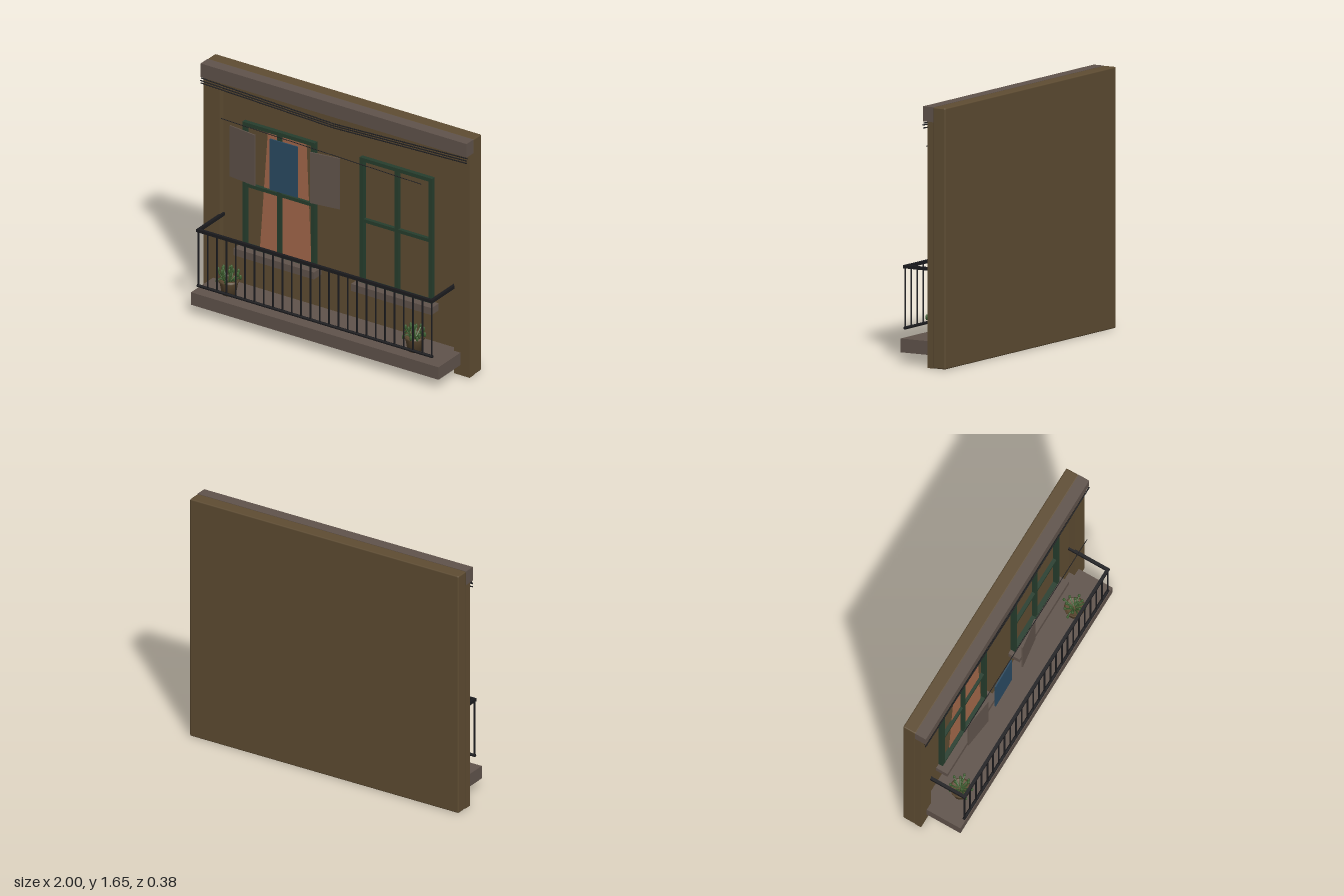
import * as THREE from 'three';
import { RoundedBoxGeometry } from 'three/addons/geometries/RoundedBoxGeometry.js';

const mat = (name, color, side = THREE.FrontSide) => {
  const m = new THREE.MeshStandardMaterial({ color, side });
  m.name = name;
  return m;
};

export function createModel() {
  const root = new THREE.Group();
  root.name = 'balconyFacade';
  const plaster = mat('plaster', 0x5e4c32);
  const stone = mat('stone', 0x60534b);
  const green = mat('greenPaint', 0x263d2d);
  const iron = mat('iron', 0x1b1b1e);
  const curtainCloth = mat('curtainCloth', 0xa3684a, THREE.DoubleSide);
  const blueCloth = mat('blueCloth', 0x2a4a62);
  const leaf = mat('leaf', 0x3d5f30);
  const clay = mat('clay', 0x5c4930);

  const add = (parent, name, geometry, material) => {
    const mesh = new THREE.Mesh(geometry, material);
    mesh.name = name;
    parent.add(mesh);
    return mesh;
  };
  // Box given by its limits on each axis
  const box = (parent, name, material, [x0, x1], [y0, y1], [z0, z1]) => {
    const m = add(parent, name, new THREE.BoxGeometry(x1 - x0, y1 - y0, z1 - z0), material);
    m.position.set((x0 + x1) / 2, (y0 + y1) / 2, (z0 + z1) / 2);
    return m;
  };
  // Round bar between two points
  const bar = (parent, name, material, a, b, r) => {
    const p = new THREE.Vector3(...a), q = new THREE.Vector3(...b);
    const m = add(parent, name, new THREE.CylinderGeometry(r, r, p.distanceTo(q), 8), material);
    m.position.copy(p).add(q).multiplyScalar(0.5);
    m.quaternion.setFromUnitVectors(new THREE.Vector3(0, 1, 0), q.sub(p).normalize());
    return m;
  };

  // Wall, corner pilasters, cornice and balcony slab
  const wall = add(root, 'wall', new RoundedBoxGeometry(2, 1.65, 0.09, 2, 0.008), plaster);
  wall.position.set(0, 0.825, -0.145);
  for (const s of [-1, 1]) {
    box(root, 'pilaster', plaster, s < 0 ? [-1, -0.88] : [0.88, 1], [0, 1.555], [-0.105, -0.06]);
  }
  box(root, 'cornice', stone, [-1, 1], [1.555, 1.65], [-0.102, -0.025]);
  box(root, 'balconySlab', stone, [-0.93, 0.93], [0.07, 0.157], [-0.102, 0.185]);

  // Windows with frame, glazing bars and sill
  for (const cx of [-0.445, 0.438]) {
    const w = new THREE.Group();
    w.name = 'window';
    w.position.x = cx;
    root.add(w);
    const z = [-0.104, -0.07], h = 0.272, t = 0.026;
    box(w, 'frameLeft', green, [h - t, h], [0.43, 1.305], z);
    box(w, 'frameRight', green, [-h, t - h], [0.43, 1.305], z);
    box(w, 'frameTop', green, [t - h, h - t], [1.28, 1.305], z);
    box(w, 'frameBottom', green, [t - h, h - t], [0.43, 0.45], z);
    box(w, 'mullion', green, [-0.013, 0.013], [0.45, 1.28], [-0.104, -0.074]);
    box(w, 'crossbar', green, [t - h, h - t], [0.853, 0.876], [-0.104, -0.076]);
    box(w, 'sill', stone, [-0.302, 0.302], [0.383, 0.432], [-0.102, -0.018]);
  }

  // Flared curtain hanging in the left-hand opening
  const curtain = new THREE.Shape([
    [-0.54, 1.285], [-0.6, 0.445], [-0.213, 0.445], [-0.25, 1.285],
  ].map(([x, y]) => new THREE.Vector2(x, y)));
  add(root, 'curtain', new THREE.ShapeGeometry(curtain), curtainCloth).position.z = -0.094;

  // Railing: handrail, returns to the wall, bottom rail and balusters
  const railing = new THREE.Group();
  railing.name = 'railing';
  root.add(railing);
  const rz = 0.182, rx = 0.877;
  box(railing, 'handrail', iron, [-0.887, 0.887], [0.594, 0.614], [0.172, 0.192]);
  bar(railing, 'bottomRail', iron, [-0.885, 0.217, rz], [0.885, 0.217, rz], 0.01);
  for (const s of [-1, 1]) {
    box(railing, 'sideRail', iron, [s * rx - 0.01, s * rx + 0.01], [0.594, 0.614], [-0.1, 0.172]);
  }
  const count = 25;
  for (let i = 0; i <= count; i++) {
    const x = -rx + (2 * rx * i) / count;
    bar(railing, 'baluster', iron, [x, 0.217, rz], [x, 0.6, rz], 0.006);
  }

  // Slack cables below the cornice
  [[1.545, 1.506, -0.032], [1.532, 1.497, -0.024], [1.513, 1.48, -0.028]].forEach(([end, mid, z]) => {
    for (const s of [-1, 1]) bar(root, 'cable', iron, [s, end, z], [0, mid, z], 0.004);
  });

  // Clothesline with three hanging cloths
  bar(root, 'clothesline', iron, [-0.755, 1.39, 0.108], [0.75, 1.354, 0.108], 0.0025);
  [[-0.592, -0.12, stone], [-0.282, 0.02, blueCloth], [0.027, 0.14, stone]].forEach(([x, turn, m]) => {
    const cloth = add(root, 'hangingCloth', new THREE.BoxGeometry(0.206, 0.355, 0.008), m);
    cloth.position.set(x, 1.178, 0.112);
    cloth.rotation.y = turn;
  });

  // Potted succulents
  const potProfile = [[0, 0], [0.045, 0], [0.06, 0.085], [0.066, 0.085], [0.066, 0.1], [0.056, 0.1], [0.054, 0.088], [0, 0.088]]
    .map(([x, y]) => new THREE.Vector2(x, y));
  const potGeo = new THREE.LatheGeometry(potProfile, 16);
  const tipGeo = new THREE.SphereGeometry(1, 7, 6);
  [[-0.727, 1], [0.67, 0.9]].forEach(([px, tall], k) => {
    const plant = new THREE.Group();
    plant.name = 'pottedPlant';
    plant.position.set(px, 0.157, 0.065);
    root.add(plant);
    add(plant, 'pot', potGeo, clay);
    for (let i = 0; i < 15; i++) {
      const a = i * 2.4 + k, c = Math.cos(a), s = Math.sin(a);
      const reach = 0.02 + 0.06 * Math.sqrt(i / 14);
      const top = (0.2 - 0.045 * (i / 14) - 0.02 * (i % 3)) * tall;
      const path = new THREE.CatmullRomCurve3([
        new THREE.Vector3(c * reach * 0.25, 0.085, s * reach * 0.25),
        new THREE.Vector3(c * reach * 0.75, 0.115, s * reach * 0.75),
        new THREE.Vector3(c * reach, top - 0.015, s * reach),
      ]);
      add(plant, 'stem', new THREE.TubeGeometry(path, 5, 0.005, 6), leaf);
      const tip = add(plant, 'leafTip', tipGeo, leaf);
      tip.scale.set(0.009, 0.018, 0.009);
      tip.position.set(c * reach, top - 0.012, s * reach);
    }
  });

  return root;
}
